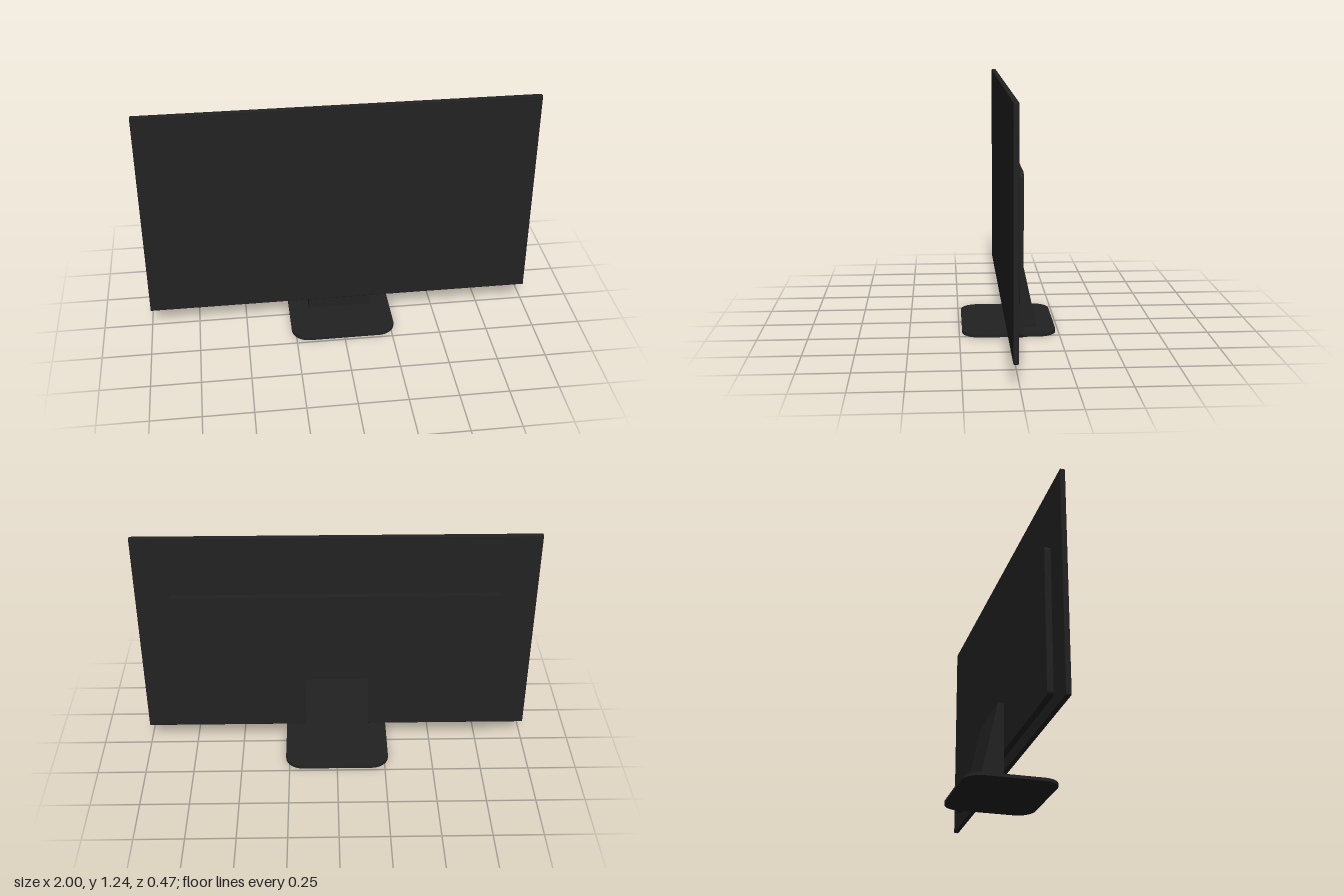
import * as THREE from 'three';
import { RoundedBoxGeometry } from 'three/addons/geometries/RoundedBoxGeometry.js';

const charcoal = new THREE.MeshStandardMaterial({ color: 0x222222 });
charcoal.name = 'charcoal plastic';

// Rounded rectangle plate, centred in x/y and extruded from z = 0 to depth
function roundedPlate(width, height, radius, depth) {
  const x = width / 2, y = height / 2, r = radius;
  const shape = new THREE.Shape();
  shape.moveTo(-x + r, -y);
  shape.absarc(x - r, -y + r, r, -Math.PI / 2, 0);
  shape.absarc(x - r, y - r, r, 0, Math.PI / 2);
  shape.absarc(-x + r, y - r, r, Math.PI / 2, Math.PI);
  shape.absarc(-x + r, -y + r, r, Math.PI, Math.PI * 1.5);
  return new THREE.ExtrudeGeometry(shape, { depth, bevelEnabled: false, curveSegments: 10 });
}

export function createModel() {
  const model = new THREE.Group();
  model.name = 'monitor';
  const add = (name, geometry) => {
    const mesh = new THREE.Mesh(geometry, charcoal);
    mesh.name = name;
    model.add(mesh);
    return mesh;
  };

  // Thin display panel with slightly softened edges
  add('displayPanel', new RoundedBoxGeometry(2, 1.13, 0.025, 2, 0.004)).position.set(0, 0.675, 0.0175);

  // Raised housing on the back
  add('rearHousing', roundedPlate(1.68, 0.747, 0.025, 0.031)).position.set(0, 0.5485, -0.025);

  // Wedge-shaped stand: side profile (depth, height) extruded across x
  const profile = new THREE.Shape([
    [0.025, 0.012], [0.145, 0.012], [0.055, 0.425], [0.025, 0.425],
  ].map(([d, h]) => new THREE.Vector2(d, h)));
  const wedge = new THREE.ExtrudeGeometry(profile, { depth: 0.326, bevelEnabled: false });
  wedge.translate(0, 0, -0.163).rotateY(Math.PI / 2);
  add('stand', wedge);

  // Flat rounded base
  add('base', roundedPlate(0.54, 0.47, 0.09, 0.016).rotateX(-Math.PI / 2));

  return model;
}
